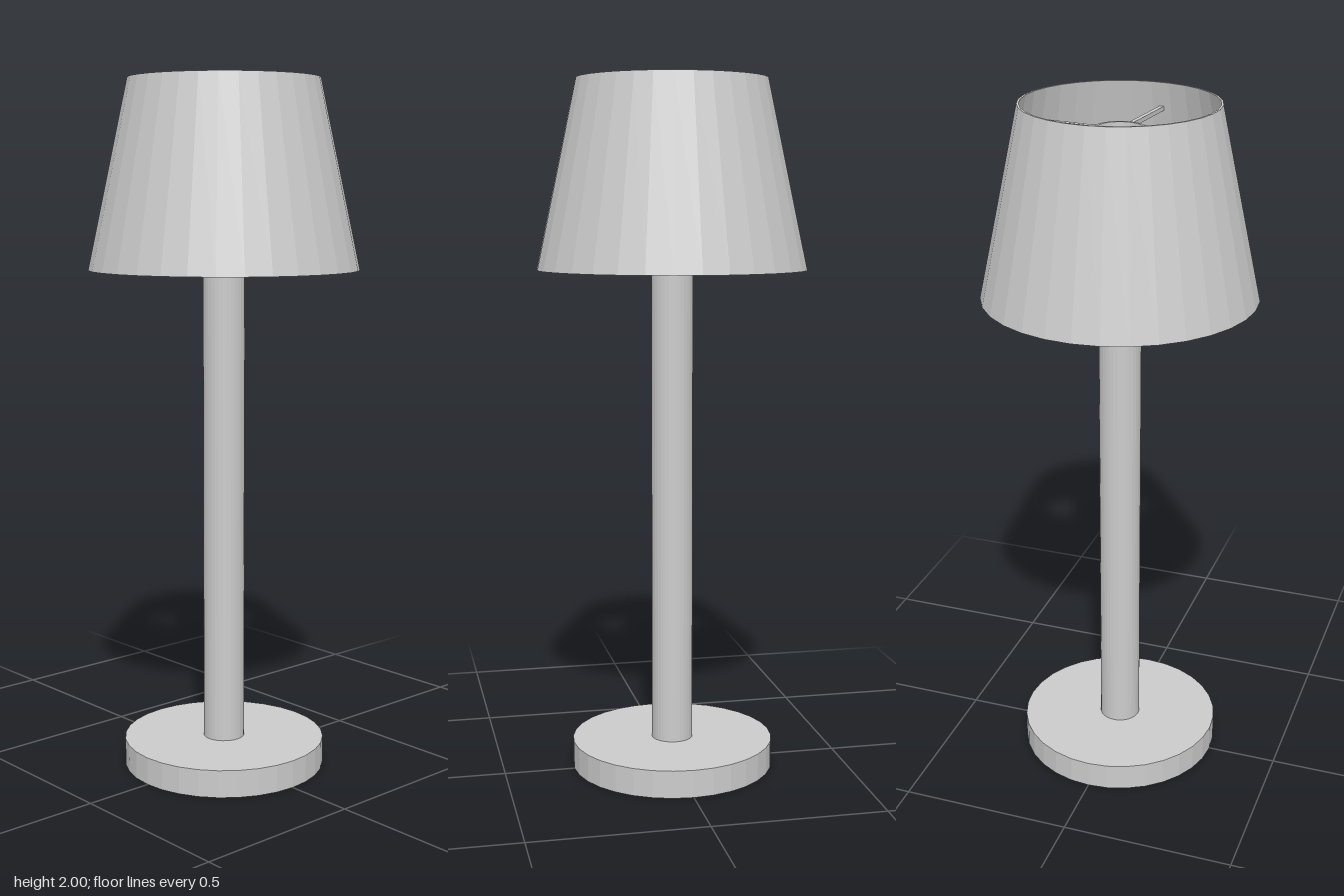
import * as THREE from 'three';

const SIDES = 32;

export function createModel() {
  const lamp = new THREE.Group();
  lamp.name = 'tableLamp';
  const material = new THREE.MeshStandardMaterial({ color: 0xcccccc, flatShading: true });

  const add = (name, geometry, y = 0, parent = lamp) => {
    const mesh = new THREE.Mesh(geometry, material);
    mesh.name = name;
    mesh.position.y = y;
    parent.add(mesh);
    return mesh;
  };

  // Closed hollow ring: profile runs up the outside and down the inside
  const hollow = (bottomR, topR, y0, y1, wall) => new THREE.LatheGeometry([
    [bottomR - wall, y0], [bottomR, y0], [topR, y1], [topR - wall, y1], [bottomR - wall, y0],
  ].map(([r, y]) => new THREE.Vector2(r, y)), SIDES);

  // Foot and stem
  add('base', new THREE.CylinderGeometry(0.295, 0.295, 0.08, SIDES), 0.04);
  add('pole', new THREE.CylinderGeometry(0.06, 0.06, 1.64, SIDES), 0.9);

  // Bulb resting on the stem
  add('bulb', new THREE.SphereGeometry(0.112, SIDES, 16), 1.79);

  // Tapered open shade
  add('shade', hollow(0.387, 0.272, 1.465, 2, 0.006));

  // Shade carrier: a small ring with four spokes reaching the shade wall
  const carrier = new THREE.Group();
  carrier.name = 'shadeCarrier';
  carrier.position.y = 1.925;
  carrier.rotation.y = -Math.PI / SIDES;
  lamp.add(carrier);
  add('carrierRing', hollow(0.071, 0.071, -0.008, 0.008, 0.008), 0, carrier);
  const inner = 0.069, outer = 0.281;
  for (let i = 0; i < 4; i++) {
    const spoke = new THREE.BoxGeometry(outer - inner, 0.012, 0.013);
    spoke.translate((inner + outer) / 2, 0, 0);
    add('carrierSpoke', spoke, 0, carrier).rotation.y = i * Math.PI / 2;
  }

  return lamp;
}
